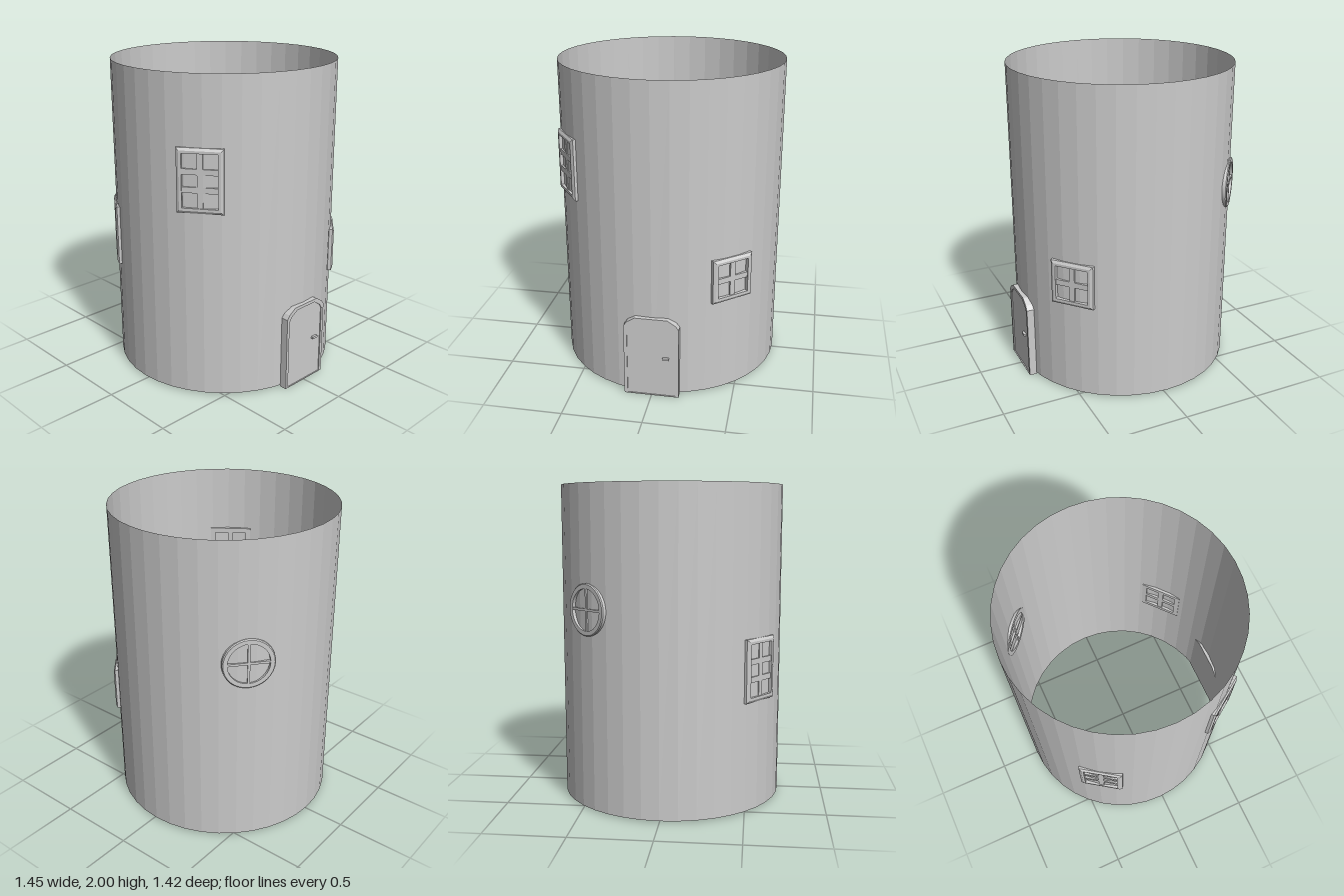
import * as THREE from 'three';
import { toCreasedNormals } from 'three/addons/utils/BufferGeometryUtils.js';

const RADIUS = 0.71, CENTER_X = -0.02;
const material = new THREE.MeshStandardMaterial({ color: 0xcccccc });
const wallMaterial = new THREE.MeshStandardMaterial({ color: 0xcccccc, flatShading: true, side: THREE.DoubleSide });

function addMesh(parent, name, geometry, x = 0, y = 0, z = 0) {
  const mesh = new THREE.Mesh(geometry, material);
  mesh.name = name;
  mesh.position.set(x, y, z);
  parent.add(mesh);
  return mesh;
}

// Closed frame: a profile of [inset, depth] points swept around a unit outline
function frameGeometry(outline, halfW, halfH, profile) {
  const positions = [], index = [];
  const n = outline.length, m = profile.length;
  for (const [cx, cy] of outline) {
    for (const [inset, depth] of profile) {
      positions.push(cx * (halfW - inset), cy * (halfH - inset), depth);
    }
  }
  for (let i = 0; i < n; i++) {
    for (let j = 0; j < m; j++) {
      const a = i * m + j, b = ((i + 1) % n) * m + j;
      const c = ((i + 1) % n) * m + (j + 1) % m, d = i * m + (j + 1) % m;
      index.push(a, b, c, a, c, d);
    }
  }
  const geometry = new THREE.BufferGeometry();
  geometry.setAttribute('position', new THREE.Float32BufferAttribute(positions, 3));
  geometry.setIndex(index);
  return toCreasedNormals(geometry, 0.4);
}

const SQUARE = [[-1, -1], [1, -1], [1, 1], [-1, 1]];
const CIRCLE = Array.from({ length: 32 }, (_, i) => {
  const a = i / 32 * Math.PI * 2;
  return [Math.cos(a), Math.sin(a)];
});

// Group set into the wall, facing outward; angle is measured from +z towards +x
function wallMount(parent, name, degrees, y, radius) {
  const a = THREE.MathUtils.degToRad(degrees);
  const group = new THREE.Group();
  group.name = name;
  group.position.set(CENTER_X + Math.sin(a) * radius, y, Math.cos(a) * radius);
  group.rotation.y = a;
  parent.add(group);
  return group;
}

// Two-column window with a chamfered frame and crossing bars
function addWindow(parent, name, degrees, y, radius, height, rows) {
  const group = wallMount(parent, name, degrees, y, radius);
  const halfW = 0.14, halfH = height / 2, border = 0.032;
  const profile = [[0, 0], [0, 0.026], [0.016, 0.036], [border, 0.036], [border, 0]];
  addMesh(group, 'windowFrame', frameGeometry(SQUARE, halfW, halfH, profile));
  const innerW = 2 * (halfW - border), innerH = height - 2 * border;
  addMesh(group, 'verticalBar', new THREE.BoxGeometry(0.035, innerH, 0.026), 0, 0, 0.016);
  for (let i = 1; i < rows; i++) {
    const barY = -innerH / 2 + innerH * i / rows;
    addMesh(group, 'horizontalBar', new THREE.BoxGeometry(innerW, 0.035, 0.026), 0, barY, 0.016);
  }
}

// Round window with a thin cross
function addRoundWindow(parent, degrees, y) {
  const group = wallMount(parent, 'roundWindow', degrees, y, 0.691);
  const profile = [[0, 0], [0, 0.022], [0.006, 0.028], [0.032, 0.028], [0.032, 0]];
  addMesh(group, 'roundFrame', frameGeometry(CIRCLE, 0.16, 0.16, profile));
  addMesh(group, 'verticalBar', new THREE.BoxGeometry(0.015, 0.26, 0.022), 0, 0, 0.014);
  addMesh(group, 'horizontalBar', new THREE.BoxGeometry(0.26, 0.015, 0.022), 0, 0, 0.014);
}

// Door outline with clipped upper corners
function doorOutline(PathType, inset) {
  const w = 0.172 - inset, h = 0.54 - inset;
  const points = [[-w, inset ? 0.004 : 0], [w, inset ? 0.004 : 0], [w, h - 0.06], [w - 0.02, h - 0.032],
    [w - 0.07, h], [-w + 0.07, h], [-w + 0.02, h - 0.032], [-w, h - 0.06]];
  return new PathType(points.map(([x, y]) => new THREE.Vector2(x, y)));
}

function addDoor(parent) {
  const door = new THREE.Group();
  door.name = 'door';
  door.position.x = 0.668;
  door.rotation.y = Math.PI / 2;
  parent.add(door);
  const rim = doorOutline(THREE.Shape, 0);
  rim.holes.push(doorOutline(THREE.Path, 0.02));
  addMesh(door, 'doorFrame', new THREE.ExtrudeGeometry(rim, { depth: 0.047, bevelEnabled: false }));
  const panel = doorOutline(THREE.Shape, 0.02);
  addMesh(door, 'doorPanel', new THREE.ExtrudeGeometry(panel, { depth: 0.04, bevelEnabled: false }));
  addMesh(door, 'doorHandle', new THREE.BoxGeometry(0.042, 0.014, 0.02), 0.092, 0.272, 0.046);
}

export function createModel() {
  const model = new THREE.Group();
  model.name = 'roundTower';

  // Open cylindrical wall
  const wall = addMesh(model, 'wall', new THREE.CylinderGeometry(RADIUS, RADIUS, 1.99, 40, 1, true), CENTER_X, 1.005, 0);
  wall.material = wallMaterial;

  addWindow(model, 'frontLeftWindow', 34.8, 1.385, 0.686, 0.39, 3);
  addWindow(model, 'frontRightWindow', -34.8, 0.885, 0.686, 0.39, 3);
  addWindow(model, 'backLeftWindow', 131, 0.765, 0.69, 0.285, 2);
  addRoundWindow(model, -129.8, 1.25);
  addDoor(model);
  return model;
}
